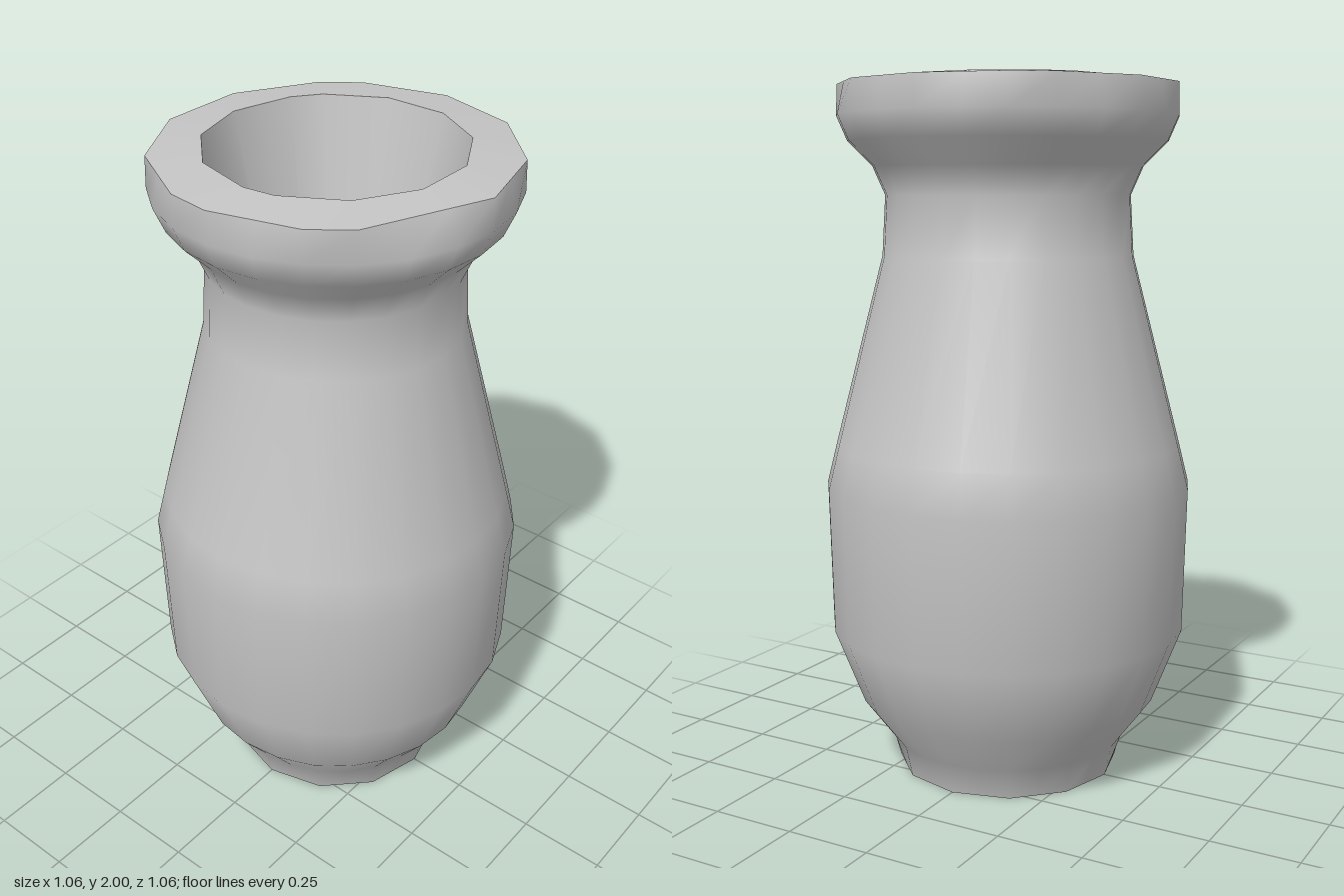
import * as THREE from 'three';

const SIDES = 24;
const STEP = (Math.PI * 2) / SIDES;

// Radius of a simplified polygon (corners at the listed 15-degree steps) at step i
function polygonRadius(radius, corners, i) {
  if (!corners) return radius;
  for (let k = 0; k < corners.length; k++) {
    const a = corners[k];
    const b = k + 1 < corners.length ? corners[k + 1] : corners[0] + SIDES;
    const j = i < a ? i + SIDES : i;
    if (j >= a && j <= b) {
      const half = ((b - a) * STEP) / 2;
      return (radius * Math.cos(half)) / Math.cos((j - a) * STEP - half);
    }
  }
  return radius;
}

// Skin over stacked rings: each ring is [radius, y, optional corner list]
function ringSurface(rings) {
  const pos = [];
  const index = [];
  for (const [radius, y, corners] of rings) {
    for (let i = 0; i < SIDES; i++) {
      const r = polygonRadius(radius, corners, i);
      pos.push(r * Math.cos(i * STEP), y, r * Math.sin(i * STEP));
    }
  }
  for (let k = 0; k < rings.length - 1; k++) {
    for (let i = 0; i < SIDES; i++) {
      const n = (i + 1) % SIDES;
      const a = k * SIDES + i, b = k * SIDES + n;
      const c = a + SIDES, d = b + SIDES;
      if (rings[k][0] > 0) index.push(a, c, b);
      if (rings[k + 1][0] > 0) index.push(b, c, d);
      else if (rings[k][0] === 0) index.push(b, c, d);
    }
  }
  const g = new THREE.BufferGeometry();
  g.setAttribute('position', new THREE.Float32BufferAttribute(pos, 3));
  g.setIndex(index);
  g.computeVertexNormals();
  return g;
}

export function createModel() {
  const group = new THREE.Group();
  group.name = 'vase';
  const clay = new THREE.MeshStandardMaterial({ color: 0xc4c4c4 });
  clay.name = 'grey clay';

  // Irregular low-poly outlines of the lip, the opening and the foot
  const lip = [0, 3, 4, 6, 7, 9, 11, 13, 15, 16, 18, 20, 22];
  const opening = [1, 3, 5, 6, 8, 10, 12, 14, 15, 17, 19, 21, 23];
  const foot = [0, 2, 4, 6, 8, 10, 12, 14, 16, 18, 20, 22];

  const parts = {
    // Smooth outer wall, foot to lip
    body: [
      [0.325, 0, foot], [0.345, 0.09], [0.435, 0.21], [0.52, 0.43],
      [0.53, 0.85], [0.5, 0.97], [0.36, 1.51], [0.35, 1.68],
      [0.385, 1.76], [0.455, 1.83], [0.485, 1.9], [0.482, 1.987, lip],
    ],
    // Flat lip around the opening
    rim: [[0.482, 1.987, lip], [0.35, 2, opening]],
    // Tapering hollow
    hollow: [[0.35, 2, opening], [0, 0.3]],
    // Underside
    base: [[0, 0], [0.325, 0, foot]],
  };
  for (const [name, rings] of Object.entries(parts)) {
    const mesh = new THREE.Mesh(ringSurface(rings), clay);
    mesh.name = name;
    group.add(mesh);
  }
  return group;
}
